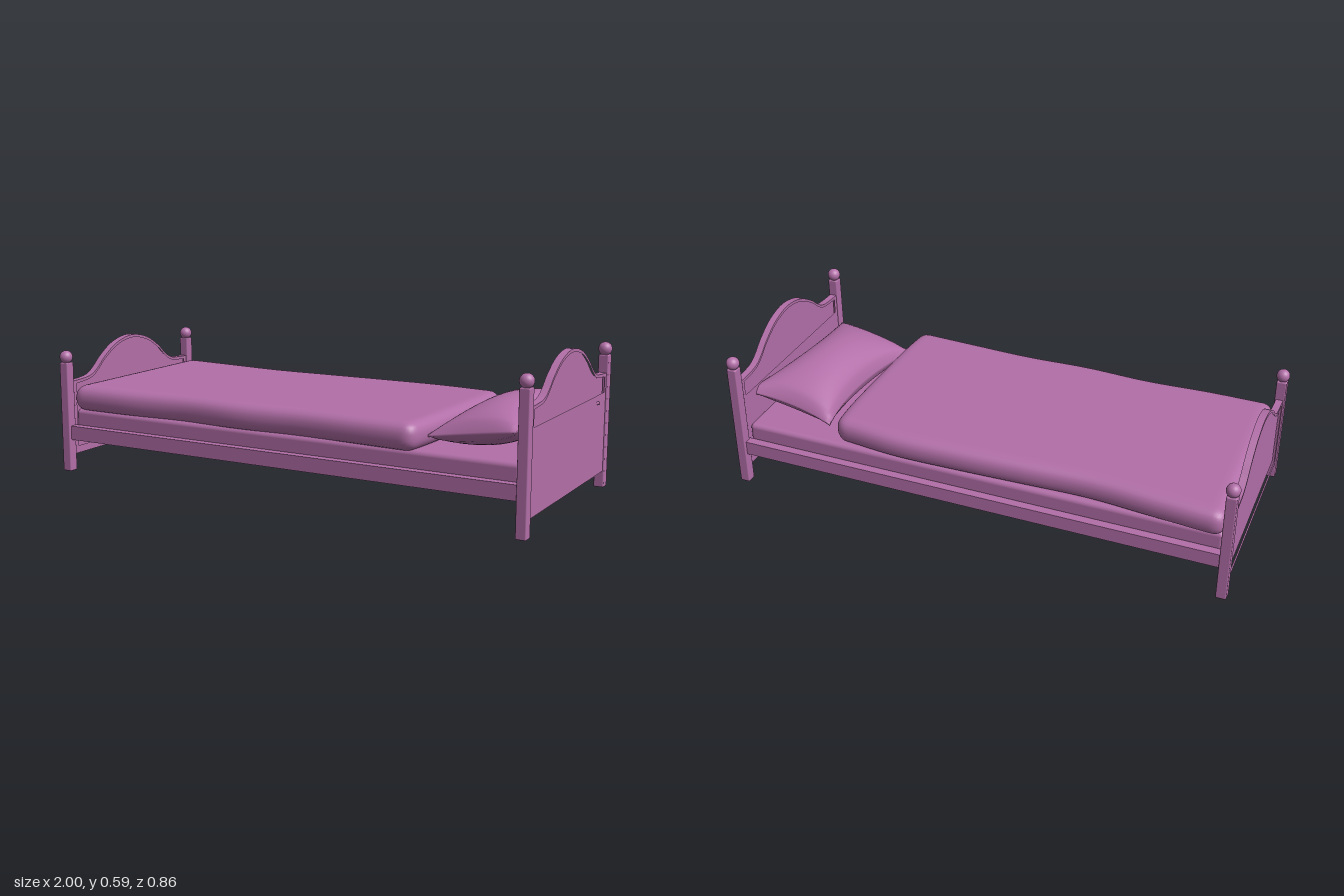
import * as THREE from 'three';
import { mergeVertices, toCreasedNormals } from 'three/addons/utils/BufferGeometryUtils.js';
import { RoundedBoxGeometry } from 'three/addons/geometries/RoundedBoxGeometry.js';

const material = new THREE.MeshStandardMaterial({ color: 0xb26fa8 });
const openMaterial = new THREE.MeshStandardMaterial({ color: 0xb26fa8, side: THREE.DoubleSide });

function add(parent, name, geometry, x = 0, y = 0, z = 0, mat = material) {
  const mesh = new THREE.Mesh(geometry, mat);
  mesh.name = name;
  mesh.position.set(x, y, z);
  parent.add(mesh);
}

// Move every vertex by a rule, then weld and smooth
function warp(geometry, rule) {
  const pos = geometry.attributes.position;
  const p = new THREE.Vector3();
  for (let i = 0; i < pos.count; i++) {
    rule(p.fromBufferAttribute(pos, i));
    pos.setXYZ(i, p.x, p.y, p.z);
  }
  geometry.deleteAttribute('normal');
  geometry.deleteAttribute('uv');
  const smooth = mergeVertices(geometry, 1e-5);
  smooth.computeVertexNormals();
  return smooth;
}

// Arched top line from -z to +z, lying below the crown height
function archPoints(crown, halfWidth, inset) {
  const half = [[0, 0], [0.1, 0.02], [0.18, 0.066], [0.225, 0.104], [0.265, 0.129], [0.31, 0.138]];
  const right = [...half, [halfWidth, 0.142]].map(([z, d]) => new THREE.Vector2(z, crown - d - inset));
  const left = right.slice(1).reverse().map((p) => new THREE.Vector2(-p.x, p.y));
  return new THREE.SplineCurve([...left, ...right]).getPoints(64);
}

function archOutline(Type, crown, halfWidth, bottom, inset) {
  return new Type([
    new THREE.Vector2(-halfWidth, bottom),
    ...archPoints(crown, halfWidth, inset),
    new THREE.Vector2(halfWidth, bottom),
  ]);
}

function boardGeometry(shape, thickness) {
  const g = new THREE.ExtrudeGeometry(shape, { depth: thickness, bevelEnabled: false });
  g.translate(0, 0, -thickness / 2).rotateY(Math.PI / 2);
  return toCreasedNormals(g, 0.5);
}

// End of the bed: arched frame, recessed panel, two posts with ball finials
function bedEnd(name, x, crown, postTop, panelBottom) {
  const end = new THREE.Group();
  end.name = name;
  end.position.x = x;
  const frame = archOutline(THREE.Shape, crown, 0.39, 0.065, 0);
  frame.holes.push(archOutline(THREE.Path, crown, 0.366, panelBottom, 0.012));
  add(end, 'archedFrame', boardGeometry(frame, 0.028));
  const panel = archOutline(THREE.Shape, crown, 0.372, panelBottom - 0.01, 0.006);
  add(end, 'recessedPanel', boardGeometry(panel, 0.01));
  for (const side of [-1, 1]) {
    const z = side * 0.405;
    add(end, 'post', new RoundedBoxGeometry(0.04, postTop, 0.04, 2, 0.005), 0, postTop / 2, z);
    add(end, 'finialNeck', new THREE.CylinderGeometry(0.012, 0.015, 0.016, 20), 0, postTop + 0.004, z);
    add(end, 'finialBall', new THREE.SphereGeometry(0.026, 28, 18), 0, postTop + 0.021, z);
  }
  return end;
}

// Rounded mattress cover, open underneath: the last face of the box is dropped
function mattressGeometry(length, height, width) {
  const g = new RoundedBoxGeometry(length, width, height, 4, 0.018);
  for (const [key, attr] of Object.entries(g.attributes)) {
    const kept = attr.array.slice(0, (attr.array.length * 5) / 6);
    g.setAttribute(key, new THREE.BufferAttribute(kept, attr.itemSize));
  }
  g.clearGroups();
  return g.rotateX(-Math.PI / 2);
}

// Thick quilt with rounded edges and gently wandering sides
function duvetGeometry() {
  const half = new THREE.Vector3(0.77, 0.052, 0.395);
  const r = 0.046;
  const limit = half.clone().subScalar(r);
  const lower = limit.clone().negate();
  const curve = (pts) => new THREE.SplineCurve(pts.map((p) => new THREE.Vector2(...p)));
  const back = curve([[0, -0.415], [0.18, -0.395], [0.36, -0.373], [0.54, -0.38], [0.72, -0.388], [0.86, -0.39], [1, -0.365]]);
  const front = curve([[0, 0.4], [0.18, 0.4], [0.36, 0.388], [0.54, 0.4], [0.72, 0.392], [0.86, 0.402], [1, 0.412]]);
  const core = new THREE.Vector3();
  return warp(new THREE.BoxGeometry(1.54, 0.104, 0.79, 96, 8, 48), (p) => {
    core.copy(p).clamp(lower, limit);
    p.sub(core).normalize().multiplyScalar(r).add(core);
    const t = THREE.MathUtils.clamp((p.x + half.x) / (2 * half.x), 0, 1);
    const side = p.z / half.z;
    const b = back.getPoint(t).y;
    const f = front.getPoint(t).y;
    p.z = (b + f) / 2 + (side * (f - b)) / 2;
    // Slightly bowed upper hem
    p.x += t ** 8 * (0.006 - 0.008 * side - 0.018 * side ** 4);
  });
}

// Pillow: two bulging faces pinched together along concave edges
function pillowGeometry() {
  const backLeft = new THREE.Vector3(0.615, 0.30, -0.335);
  const backRight = new THREE.Vector3(0.996, 0.345, -0.3);
  const frontLeft = new THREE.Vector3(0.575, 0.29, 0.31);
  const frontRight = new THREE.Vector3(0.915, 0.345, 0.34);
  const a = new THREE.Vector3();
  const b = new THREE.Vector3();
  return warp(new THREE.BoxGeometry(2, 2, 2, 28, 1, 28), (p) => {
    const { x: u, z: v } = p;
    const top = Math.sign(p.y);
    const pinchU = u * (1 - 0.24 * (1 - v * v));
    const pinchV = v * (1 - (v < 0 ? 0.08 : 0.03) * (1 - u * u));
    a.lerpVectors(backLeft, backRight, (pinchU + 1) / 2);
    b.lerpVectors(frontLeft, frontRight, (pinchU + 1) / 2);
    p.lerpVectors(a, b, (pinchV + 1) / 2);
    const bulge = Math.pow((1 - u * u) * (1 - v * v), 0.5);
    p.y += top * (0.004 + (top > 0 ? 0.096 : 0.075) * bulge);
  });
}

export function createModel() {
  const bed = new THREE.Group();
  bed.name = 'bed';

  bed.add(bedEnd('headboard', 0.974, 0.589, 0.515, 0.375));
  bed.add(bedEnd('footboard', -0.974, 0.505, 0.442, 0.095));

  for (const side of [-1, 1]) {
    add(bed, 'sideRail', new THREE.BoxGeometry(1.92, 0.056, 0.034), 0, 0.157, side * 0.397);
  }

  add(bed, 'mattress', mattressGeometry(1.908, 0.08, 0.758), -0.002, 0.21, 0, openMaterial);
  add(bed, 'duvet', duvetGeometry(), -0.188, 0.296, 0);
  add(bed, 'pillow', pillowGeometry());
  return bed;
}
